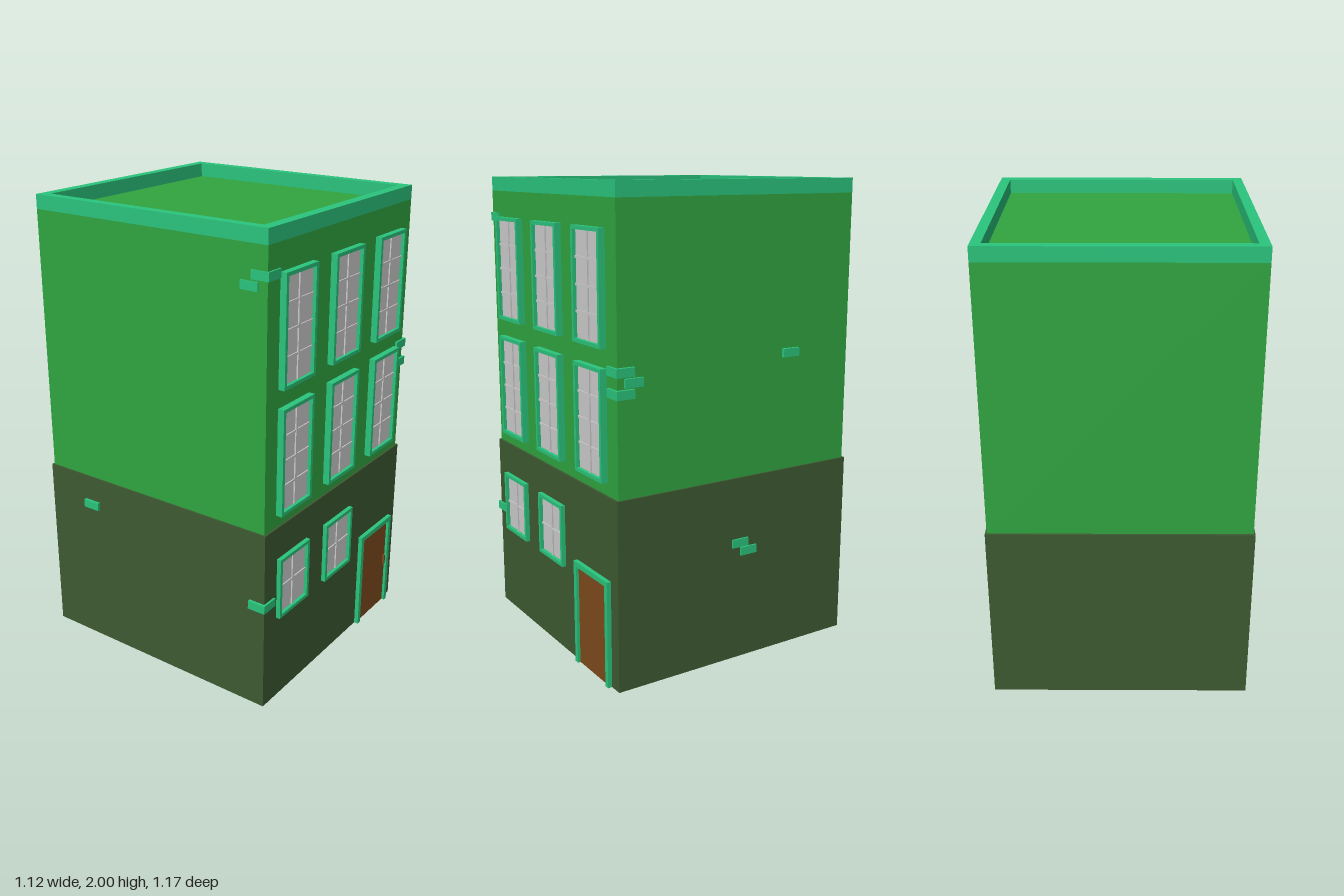
import * as THREE from 'three';

const paint = (color) => new THREE.MeshStandardMaterial({ color });
const mats = {
  wall: paint(0x30a540), base: paint(0x3e5a32), trim: paint(0x2ac47c),
  door: paint(0x7d4a1c), grey: paint(0xcccccc),
};

// Box given by its min and max on each axis
function box(parent, name, mat, [x0, x1], [y0, y1], [z0, z1]) {
  const mesh = new THREE.Mesh(new THREE.BoxGeometry(x1 - x0, y1 - y0, z1 - z0), mat);
  mesh.name = name;
  mesh.position.set((x0 + x1) / 2, (y0 + y1) / 2, (z0 + z1) / 2);
  parent.add(mesh);
  return mesh;
}

// Extruded outline from a list of corners, with an optional hole
function extrude(parent, name, mat, outer, hole, depth) {
  const toPts = (pts) => pts.map(([x, y]) => new THREE.Vector2(x, y));
  const shape = new THREE.Shape(toPts(outer));
  if (hole) shape.holes.push(new THREE.Path(toPts(hole)));
  const mesh = new THREE.Mesh(new THREE.ExtrudeGeometry(shape, { depth, bevelEnabled: false }), mat);
  mesh.name = name;
  parent.add(mesh);
  return mesh;
}

const rect = (x0, x1, y0, y1) => [[x0, y0], [x1, y0], [x1, y1], [x0, y1]];

// Framed window with a grid of glazing bars
function addWindow(parent, cx, y0, y1, rows) {
  const g = new THREE.Group();
  g.name = 'window';
  const w = 0.11, t = 0.015, front = 0.585;
  const frame = extrude(g, 'windowFrame', mats.trim,
    rect(cx - w, cx + w, y0, y1), rect(cx - w + t, cx + w - t, y0 + t, y1 - t), 0.035);
  frame.position.z = front - 0.035;
  const xs = [cx - w + t, cx + w - t], ys = [y0 + t, y1 - t];
  box(g, 'glass', mats.grey, xs, ys, [0.55, 0.57]);
  box(g, 'verticalBar', mats.grey, [cx - 0.006, cx + 0.006], ys, [0.56, 0.576]);
  for (let i = 1; i < rows; i++) {
    const y = ys[0] + (ys[1] - ys[0]) * i / rows;
    box(g, 'horizontalBar', mats.grey, xs, [y - 0.005, y + 0.005], [0.56, 0.575]);
  }
  parent.add(g);
}

export function createModel() {
  const model = new THREE.Group();
  model.name = 'townHouse';

  // Ground floor, upper floors and flat roof
  box(model, 'groundFloor', mats.base, [-0.552, 0.552], [0, 0.8], [-0.585, 0.566]);
  box(model, 'upperFloors', mats.wall, [-0.545, 0.545], [0.79, 1.94], [-0.576, 0.557]);

  // Parapet ring around the roof
  const parapet = extrude(model, 'parapet', mats.trim,
    rect(-0.545, 0.545, -0.557, 0.576), rect(-0.503, 0.503, -0.511, 0.533), 0.06);
  parapet.rotation.x = -Math.PI / 2;
  parapet.position.y = 1.94;

  // Windows in three columns, the last one on upper floors only
  for (const cx of [-0.355, 0, 0.355]) {
    addWindow(model, cx, 1.38, 1.83, 4);
    addWindow(model, cx, 0.853, 1.303, 4);
    if (cx < 0.3) addWindow(model, cx, 0.388, 0.66, 2);
  }

  // Door with its surround and handle
  const door = new THREE.Group();
  door.name = 'door';
  const surround = extrude(door, 'doorFrame', mats.trim, [
    [0.215, 0], [0.237, 0], [0.237, 0.433], [0.473, 0.433],
    [0.473, 0], [0.495, 0], [0.495, 0.455], [0.215, 0.455],
  ], null, 0.035);
  surround.position.z = 0.55;
  box(door, 'doorLeaf', mats.door, [0.237, 0.473], [0.001, 0.433], [0.55, 0.573]);
  box(door, 'doorHandle', mats.door, [0.453, 0.463], [0.21, 0.255], [0.57, 0.583]);
  model.add(door);

  // Protruding bricks: x range, centre height, z range
  const bricks = [
    [[-0.55, -0.47], 1.828, [0.485, 0.565]],
    [[-0.55, -0.53], 1.785, [0.437, 0.517]],
    [[-0.565, -0.485], 0.475, [0.495, 0.575]],
    [[-0.565, -0.54], 0.67, [-0.385, -0.305]],
    [[0.48, 0.56], 1.3, [0.487, 0.567]],
    [[0.48, 0.56], 1.215, [0.487, 0.567]],
    [[0.53, 0.557], 1.257, [0.447, 0.527]],
    [[0.53, 0.56], 1.3, [-0.305, -0.225]],
    [[0.54, 0.56], 0.518, [-0.06, 0.02]],
    [[0.54, 0.56], 0.478, [-0.103, -0.023]],
  ];
  for (const [x, y, z] of bricks) box(model, 'brick', mats.trim, x, [y - 0.018, y + 0.018], z);

  return model;
}
